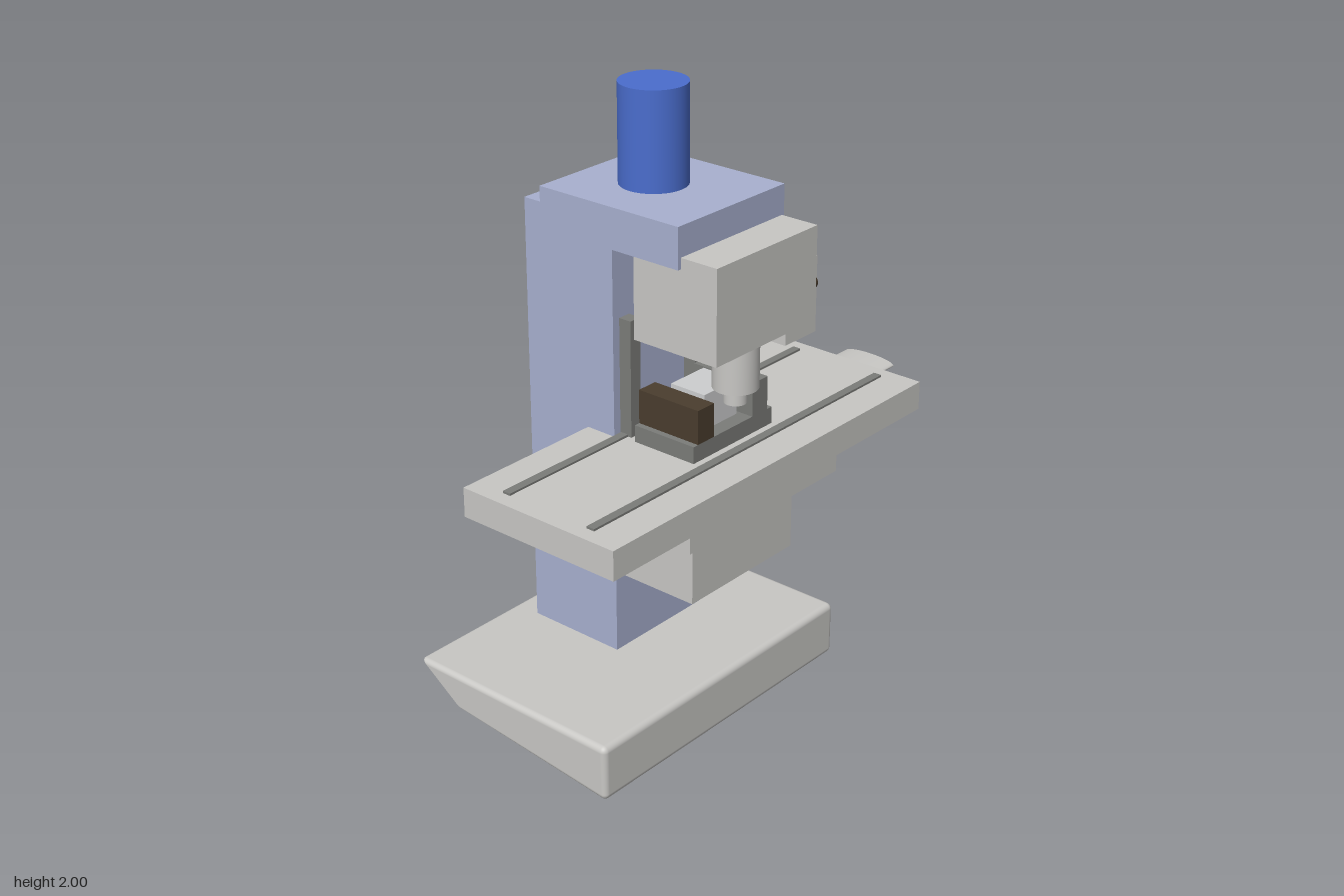
import * as THREE from 'three';
import { RoundedBoxGeometry } from 'three/addons/geometries/RoundedBoxGeometry.js';

function material(name, color) {
  const m = new THREE.MeshStandardMaterial({ color });
  m.name = name;
  return m;
}

export function createModel() {
  const model = new THREE.Group();
  model.name = 'millingMachine';

  const grey = material('lightGrey', 0xc8c7c4);
  const paleBlue = material('paleBlue', 0xa8b0cf);
  const blue = material('motorBlue', 0x4a6dcd);
  const steel = material('darkSteel', 0x7b7c79);
  const brown = material('darkBrown', 0x4a3d2e);
  const silver = material('silver', 0xcdcecf);

  const add = (name, geometry, mat, x = 0, y = 0, z = 0) => {
    const mesh = new THREE.Mesh(geometry, mat);
    mesh.name = name;
    mesh.position.set(x, y, z);
    model.add(mesh);
    return mesh;
  };
  // Box given by its extents along each axis
  const box = (name, mat, [x0, x1], [y0, y1], [z0, z1]) =>
    add(name, new THREE.BoxGeometry(x1 - x0, y1 - y0, z1 - z0), mat,
      (x0 + x1) / 2, (y0 + y1) / 2, (z0 + z1) / 2);
  // Upright cylinder between two heights
  const post = (name, mat, r, y0, y1, x, z) =>
    add(name, new THREE.CylinderGeometry(r, r, y1 - y0, 48), mat, x, (y0 + y1) / 2, z);

  // Base: rounded slab whose lower back corner is drawn inward
  const w = 1.12, h = 0.185, d = 0.79;
  const slab = new RoundedBoxGeometry(w, h, d, 4, 0.02);
  const p = slab.attributes.position;
  for (let i = 0; i < p.count; i++) {
    const k = (0.5 - p.getX(i) / w) * (0.5 - p.getY(i) / h) * (0.5 - p.getZ(i) / d);
    p.setX(i, p.getX(i) + 0.07 * k);
    p.setZ(i, p.getZ(i) + 0.1 * k);
  }
  add('base', slab, grey, -0.15, h / 2, -0.06);

  // Column with its two guide rails
  box('column', paleBlue, [-0.27, 0.13], [0.18, 1.62], [-0.36, -0.01]);
  for (const x of [-0.22, 0.077]) {
    box('guideRail', steel, [x - 0.022, x + 0.022], [0.6, 1.315], [-0.01, 0.034]);
  }

  // Knee, saddle and table
  box('knee', grey, [-0.31, 0.17], [0.5, 0.77], [-0.128, 0.333]);
  box('saddle', grey, [-0.425, 0.28], [0.75, 0.84], [-0.07, 0.42]);
  box('table', grey, [-0.8, 0.66], [0.84, 0.935], [-0.117, 0.463]);
  for (const z of [0.007, 0.333]) {
    box('tableSlot', steel, [-0.75, 0.61], [0.934, 0.942], [z - 0.014, z + 0.014]);
  }
  const handle = new THREE.CylinderGeometry(1, 1, 0.137, 48);
  handle.rotateZ(-Math.PI / 2).scale(1, 0.018, 0.097);
  add('tableHandle', handle, grey, 0.727, 0.888, 0.17);

  // Vise with the clamped workpiece
  box('viseBase', steel, [-0.255, 0.115], [0.935, 0.99], [0.06, 0.29]);
  box('fixedJaw', brown, [-0.235, -0.162], [0.99, 1.1], [0.06, 0.29]);
  box('movingJaw', steel, [0.02, 0.092], [0.99, 1.1], [0.06, 0.29]);
  box('workpiece', silver, [-0.147, 0.005], [0.99, 1.105], [0.11, 0.24]);

  // Head, spindle and motor
  box('headPlate', paleBlue, [-0.312, 0.17], [1.56, 1.69], [-0.255, 0.278]);
  box('head', grey, [-0.3, 0.16], [1.295, 1.595], [0.1, 0.41]);
  post('spindle', grey, 0.071, 1.125, 1.295, -0.07, 0.296);
  post('spindleNose', grey, 0.036, 1.075, 1.125, -0.07, 0.296);
  post('motor', blue, 0.106, 1.69, 2, -0.07, -0.022);

  // Control box with two buttons
  box('controlBox', grey, [0.16, 0.31], [1.18, 1.43], [0.217, 0.302]);
  const button = new THREE.SphereGeometry(0.023, 24, 16);
  add('lightButton', button, silver, 0.206, 1.355, 0.308);
  add('darkButton', button, brown, 0.27, 1.355, 0.308);

  return model;
}
